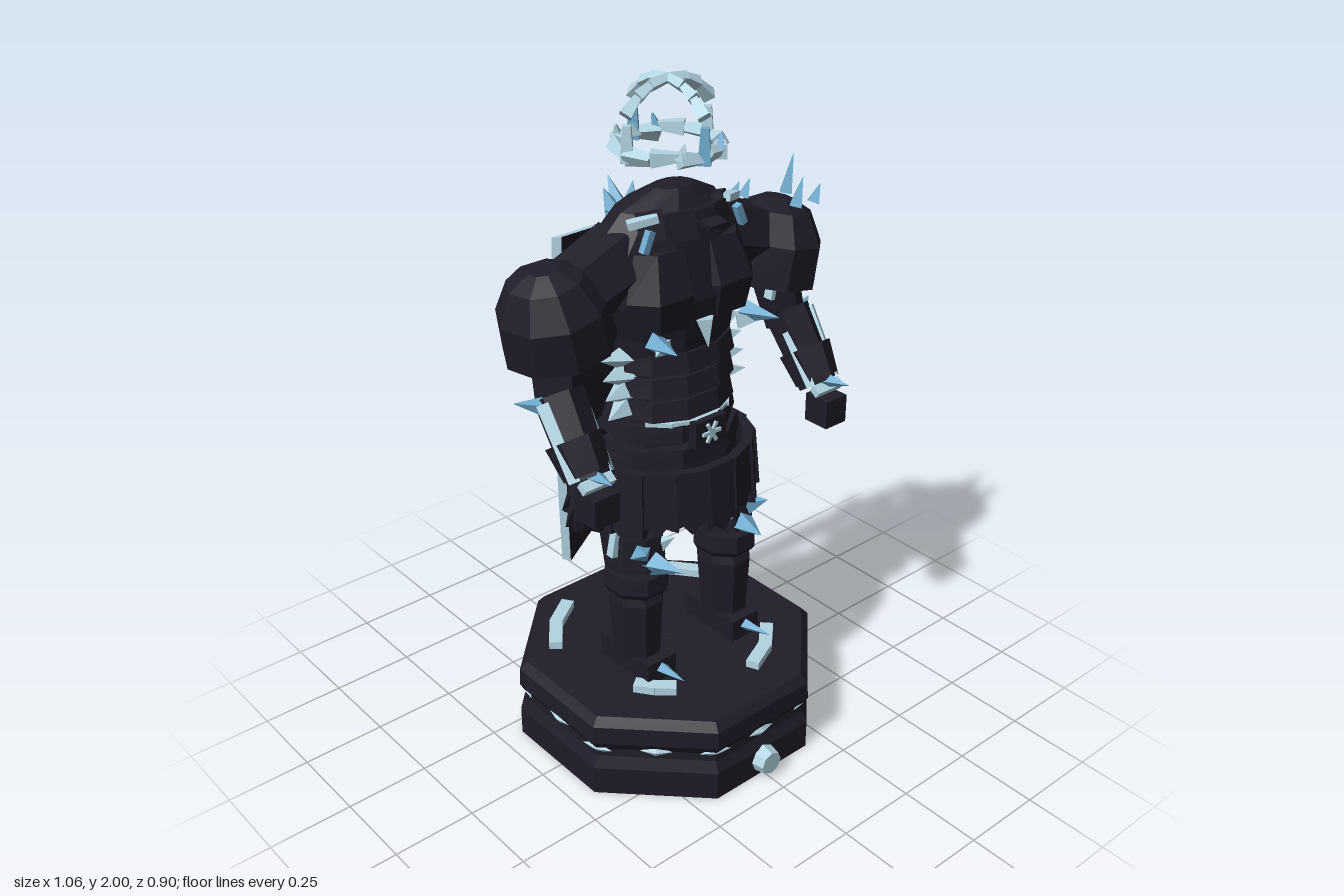
import * as THREE from 'three';

const mat = (name, color, side = THREE.FrontSide) => {
  const m = new THREE.MeshStandardMaterial({ color, side });
  m.name = name;
  return m;
};

export function createModel() {
  const model = new THREE.Group();
  model.name = 'armouredStatue';
  const dark = mat('darkArmour', 0x1e1d29);
  const ice = mat('paleIce', 0xb3d5e2);
  const blue = mat('blueCrystal', 0x6fabcf);
  const inner = mat('hollowPale', 0xb3d5e2, THREE.DoubleSide);

  let seed = 7;
  const rnd = () => (seed = (seed * 16807) % 2147483647) / 2147483647;
  const V = (x, y, z) => new THREE.Vector3(x, y, z);

  // Faceted mesh
  const add = (name, geo, m, pos = [0, 0, 0], rot = [0, 0, 0], parent = model) => {
    const g = geo.index ? geo.toNonIndexed() : geo;
    g.computeVertexNormals();
    const mesh = new THREE.Mesh(g, m);
    mesh.name = name;
    mesh.position.set(...pos);
    mesh.rotation.set(...rot);
    parent.add(mesh);
    return mesh;
  };
  const box = (name, size, pos, m = dark, rot) => add(name, new THREE.BoxGeometry(...size), m, pos, rot);

  // Stack of polygon rings, top row first: [y, half width, front z, back z, centre x]
  const loft = (rows, n = 8, open = false) => {
    const k = rows.length - 1;
    const g = new THREE.CylinderGeometry(1, 1, 1, n, k, open, Math.PI / n);
    const p = g.attributes.position;
    for (let i = 0; i < p.count; i++) {
      const [y, rx, zf, zb, cx = 0] = rows[Math.round((0.5 - p.getY(i)) * k)];
      p.setXYZ(i, cx + p.getX(i) * rx, y, (zf + zb) / 2 + p.getZ(i) * (zf - zb) / 2);
    }
    return g;
  };

  // Tapered bar between two points; a zero end radius makes a spike
  const bar = (name, a, b, ra, rb, m = dark, n = 6, parent) => {
    const A = V(...a), B = V(...b), d = B.clone().sub(A);
    const mesh = add(name, new THREE.CylinderGeometry(rb, ra, d.length(), n), m,
      A.clone().add(B).multiplyScalar(0.5).toArray(), [0, 0, 0], parent);
    mesh.quaternion.setFromUnitVectors(V(0, 1, 0), d.normalize());
    return mesh;
  };
  const spike = (a, b, r = 0.025, m = blue, name = 'crystalSpike') => bar(name, a, b, r, 0.001, m, 4);

  // Hollow octagonal plinth
  const disc = (y, r) => [y, r, r - 0.02, -r - 0.02];
  add('plinth', loft([[0.26, 0.001], [0.26, 0.44], [0.235, 0.463], [0.18, 0.466], [0.15, 0.448],
    [0.125, 0.45], [0.09, 0.466], [0, 0.466]].map(([y, r]) => disc(y, r)), 8, true), dark);
  add('plinthHollow', loft([[0.25, 0.001], [0.245, 0.4], [0.12, 0.425], [0, 0.447]]
    .map(([y, r]) => disc(y, r)), 8, true), inner);
  add('plinthRim', new THREE.RingGeometry(0.445, 0.466, 8, 1, Math.PI / 8), dark, [0, 0, -0.02], [Math.PI / 2, 0, 0]);
  // Frost patches around the groove, on faces and corners
  for (let i = 0; i < 16; i++) {
    const a = (i * Math.PI) / 8, r = i % 2 ? 0.442 : 0.418;
    add('grooveFrost', new THREE.OctahedronGeometry(0.045), ice,
      [Math.sin(a) * r, 0.148 + rnd() * 0.012, Math.cos(a) * r - 0.02], [0, a, 0])
      .scale.set(1.05, 0.4, 0.26);
  }
  // Frost strips on top
  for (const [a, r, w] of [[0.6, 0.3, 0.1], [2.4, 0.34, 0.11], [3.9, 0.34, 0.11], [5.45, 0.28, 0.06]])
    for (const t of [-0.5, 0.5]) {
      const b = a + (t * w) / r;
      box('topFrost', [w * 1.05, 0.025, 0.04], [Math.sin(b) * r, 0.272, Math.cos(b) * r - 0.02], ice, [0, b, 0]);
    }
  add('plinthMedallion', new THREE.CylinderGeometry(0.036, 0.045, 0.045, 8), ice, [0, 0.055, 0.425], [Math.PI / 2, 0, 0]);

  // Legs
  for (const s of [-1, 1]) {
    const x = s * 0.17;
    box('foot', [0.105, 0.07, 0.22], [s * 0.165, 0.305, 0.04]);
    add('leg', loft([[0.97, 0.1, 0.08, -0.12, s * 0.12], [0.75, 0.085, 0.09, -0.08, x], [0.6, 0.075, 0.1, -0.06, x],
      [0.52, 0.08, 0.13, -0.05, x], [0.33, 0.068, 0.12, -0.035, x]]), dark);
    add('kneeGuard', loft([[0.62, 0.09, 0.14, -0.06, x], [0.57, 0.095, 0.145, -0.06, x], [0.55, 0.085, 0.13, -0.05, x]]), dark);
    add('thighPlate', loft([[0.74, 0.075, 0.12, -0.03, x], [0.64, 0.085, 0.135, -0.05, x]]), dark);
    spike([x, 0.66, 0.11], [x - s * 0.02, 0.67, 0.22], 0.04);
    spike([x + s * 0.03, 0.7, 0.1], [x + s * 0.06, 0.73, 0.16], 0.035);
    spike([x - s * 0.04, 0.7, 0.1], [x - s * 0.05, 0.74, 0.15], 0.025, ice);
    spike([s * 0.165, 0.31, 0.14], [x, 0.325, 0.25], 0.022);
    box('thighFrost', [0.025, 0.08, 0.025], [x + s * 0.075, 0.72, 0.04], ice, [0, 0, s * 0.2]);
  }

  // Skirt of ragged pleats
  add('skirtCore', loft([[0.98, 0.21, 0.14, -0.16], [0.82, 0.23, 0.16, -0.18]]), dark);
  for (let i = 0; i < 16; i++) {
    const a = (i / 16) * Math.PI * 2, back = Math.cos(a) < -0.2;
    const len = (back ? 0.21 : 0.155) + rnd() * 0.045, w = 0.052;
    const shape = new THREE.Shape();
    [[-w, 0], [-w * 1.15, -len], [-w * 0.5, -len + (back ? 0.07 : 0.01)], [0, -len - 0.02],
      [w * 0.5, -len + (back ? 0.06 : 0.01)], [w * 1.15, -len], [w, 0]]
      .forEach(([px, py], j) => (j ? shape.lineTo(px, py) : shape.moveTo(px, py)));
    const g = new THREE.ExtrudeGeometry(shape, { depth: 0.03, bevelEnabled: false });
    g.rotateX(back ? -0.28 : -0.08);
    add('skirtPleat', g, dark, [Math.sin(a) * 0.22, 0.955, Math.cos(a) * 0.19 - 0.01], [0, a, 0]);
  }

  // Torso, belt and plates
  add('torso', loft([[1.71, 0.06, 0.05, -0.04], [1.66, 0.16, 0.09, -0.12], [1.56, 0.245, 0.11, -0.17],
    [1.42, 0.235, 0.14, -0.19], [1.32, 0.19, 0.13, -0.14], [1.2, 0.175, 0.11, -0.11],
    [1.06, 0.185, 0.11, -0.13], [0.93, 0.2, 0.13, -0.15]], 10), dark);
  add('upperBelt', loft([[1.07, 0.2, 0.145, -0.18], [1.02, 0.21, 0.15, -0.18]]), dark);
  add('lowerBelt', loft([[1.0, 0.21, 0.155, -0.15], [0.95, 0.22, 0.16, -0.15]]), dark);
  box('buckle', [0.11, 0.08, 0.03], [0, 1.04, 0.15]);
  for (let i = 0; i < 3; i++)
    box('buckleStar', [0.065, 0.01, 0.008], [0, 1.04, 0.168], ice, [0, 0, (i * Math.PI) / 3]);
  for (let i = 0; i < 3; i++)
    add('bellyBand', loft([[1.28 - i * 0.07, 0.175, 0.13, -0.1], [1.225 - i * 0.07, 0.183, 0.145, -0.11]], 10), dark);
  // Frost line along the belt top
  for (let i = -2; i <= 2; i++)
    box('beltFrost', [0.075, 0.012, 0.02], [Math.sin(i * 0.4) * 0.17, 1.075, Math.cos(i * 0.4) * 0.15 - 0.015], ice, [0, i * 0.4, 0]);
  spike([0, 1.37, 0.135], [0, 1.29, 0.15], 0.03, ice, 'chestShard');
  for (const s of [-1, 1]) {
    add('breastPlate', loft([[1.57, 0.09, 0.11, 0, s * 0.09], [1.45, 0.115, 0.155, 0, s * 0.105],
      [1.36, 0.1, 0.14, 0, s * 0.1]], 6), dark);
    spike([s * 0.16, 1.34, 0.12], [s * 0.18, 1.35, 0.23], 0.032);
    spike([s * 0.13, 1.32, 0.12], [s * 0.2, 1.33, 0.17], 0.028, ice);
    for (let i = 0; i < 4; i++)
      spike([s * 0.16, 1.11 + i * 0.05, 0.0], [s * 0.25, 1.105 + i * 0.055, 0.03 - i * 0.01], 0.042, ice, 'ribShard');
    box('collarFrost', [0.08, 0.02, 0.03], [s * 0.15, 1.655, 0.06], ice, [0, s * 0.5, -s * 0.2]);
    box('collarTrim', [0.02, 0.06, 0.02], [s * 0.16, 1.61, 0.09], blue, [0, 0, s * 0.4]);
    box('armpitFrost', [0.03, 0.1, 0.03], [s * 0.22, 1.32, -0.08], ice, [0, 0, -s * 0.35]);
  }
  for (let i = -2; i <= 2; i++)
    box('collarPlate', [0.07, 0.075, 0.03], [i * 0.06, 1.635, 0.125 - i * i * 0.017], dark, [-0.25, i * 0.35, 0]);
  box('collarFrontFrost', [0.06, 0.012, 0.04], [0, 1.645, 0.165], dark, [0.2, 0, 0]);

  // Arms and pauldrons
  for (const s of [-1, 1]) {
    const x = s * 0.42;
    bar('shoulderJoint', [s * 0.15, 1.53, -0.03], [s * 0.36, 1.46, -0.02], 0.11, 0.1);
    add('pauldron', loft([[0.125, 0.04, 0.04, -0.05], [0.095, 0.1, 0.1, -0.11], [0.01, 0.145, 0.15, -0.16],
      [-0.11, 0.152, 0.15, -0.165]], 9), dark, [s * 0.385, 1.45, -0.015], [0, 0, -s * 0.2]);
    bar('upperArm', [s * 0.38, 1.42, -0.02], [x - s * 0.01, 1.2, 0.03], 0.075, 0.06);
    bar('forearm', [x - s * 0.01, 1.24, 0.03], [x, 1.05, 0.16], 0.07, 0.06);
    bar('cuff', [x, 1.14, 0.1], [x, 1.06, 0.155], 0.078, 0.065);
    box('hand', [0.08, 0.085, 0.085], [x, 0.985, 0.195]);
    spike([s * 0.45, 1.22, 0.04], [s * 0.53, 1.24, 0.0], 0.03, blue, 'elbowSpike');
    spike([x, 1.07, 0.18], [s * 0.43, 1.08, 0.27], 0.025, blue, 'wristSpike');
    bar('forearmFrost', [s * 0.475, 1.24, 0.05], [s * 0.47, 1.06, 0.17], 0.023, 0.022, ice, 4);
    bar('forearmFrost', [s * 0.365, 1.2, 0.08], [s * 0.37, 1.06, 0.18], 0.02, 0.018, ice, 4);
    box('cuffFrost', [0.1, 0.022, 0.03], [x, 1.05, 0.195], ice, [0.6, 0, 0]);
    box('armFrost', [0.015, 0.06, 0.03], [s * 0.335, 1.33, 0.04], ice, [0, 0, -s * 0.2]);
  }
  // Crystals on the left shoulder and nape
  for (const [x, y, z, h] of [[0.31, 1.57, -0.1, 0.04], [0.35, 1.56, -0.1, 0.05], [0.41, 1.56, 0.05, 0.08], [0.47, 1.56, -0.05, 0.11], [0.49, 1.55, 0.04, 0.05]])
    spike([x, y, z], [x + 0.025, y + h, z], 0.024, blue, 'shoulderCrystal');
  spike([0, 1.585, -0.215], [0, 1.46, -0.26], 0.055, blue, 'napeCrystal');
  for (const [x, z, y] of [[0, -0.27, 1.66], [-0.04, -0.24, 1.64], [0.04, -0.21, 1.65]])
    spike([x * 0.5, 1.56, -0.21], [x, y, z], 0.04, blue, 'napeCrystal');

  // Cape: a slab with folds and a ragged hem, dark lining in front
  const top = [[-0.24, -0.165], [-0.08, -0.17], [0.14, -0.165], [0.165, -0.19], [0.24, -0.175]];
  const hem = [[-0.11, -0.355], [0.08, -0.385], [0.27, -0.345], [0.33, -0.38], [0.46, -0.355]];
  const cape = new THREE.BoxGeometry(1, 1, 1, 8, 6, 1);
  const cp = cape.attributes.position;
  const along = (pts, u) => {
    const i = Math.min(3, Math.floor(u)), f = u - i;
    return [0, 1].map((k) => pts[i][k] * (1 - f) + pts[i + 1][k] * f);
  };
  for (let i = 0; i < cp.count; i++) {
    const col = Math.round((cp.getX(i) + 0.5) * 8), t = 0.5 - cp.getY(i), back = cp.getZ(i) < 0;
    const a = along(top, col / 2), b = along(hem, col / 2);
    const hemY = col % 2 ? 0.47 : 0.405, bulge = Math.sin(t * Math.PI) * 0.006;
    cp.setXYZ(i, a[0] + (b[0] - a[0]) * t - bulge, 1.57 + (hemY - 1.57) * t - (back ? 0.015 : 0),
      a[1] + (b[1] - a[1]) * t - bulge - (back ? 0.045 : 0));
  }
  add('cape', cape, [ice, ice, ice, ice, dark, ice]);

  // Floating open crown: jagged ring, uprights and crossed arches
  const crown = new THREE.Group();
  crown.name = 'crown';
  model.add(crown);
  const ringPt = (i, y) => [Math.sin((i * Math.PI) / 6) * 0.136, y, Math.cos((i * Math.PI) / 6) * 0.142 - 0.015];
  for (let i = 0; i < 12; i++) {
    const a = ringPt(i, 1.8 + rnd() * 0.02), b = ringPt(i + 1, 1.8 + rnd() * 0.02);
    bar('crownRing', a, b, 0.028, 0.015, ice, 4, crown);
    if (i % 2) bar('crownTooth', a, ringPt(i + 0.2, 1.85), 0.02, 0.004, i % 4 === 1 ? blue : ice, 4, crown);
  }
  for (let q = 0; q < 4; q++) {
    bar('crownUpright', ringPt(q * 3, 1.79), ringPt(q * 3, 1.885), 0.024, 0.015, q % 2 ? ice : blue, 4, crown);
    const c = Math.sin((q * Math.PI) / 2), d = Math.cos((q * Math.PI) / 2);
    const pts = [[0.14, 1.91], [0.1, 1.95], [0.06, 1.972], [0, 1.982]].map(([r, y]) => [c * r, y, d * r - 0.015]);
    for (let i = 0; i < 3; i++)
      bar('crownArch', pts[i], pts[i + 1], 0.024 - i * 0.003, 0.014, ice, 4, crown);
  }
  return model;
}
